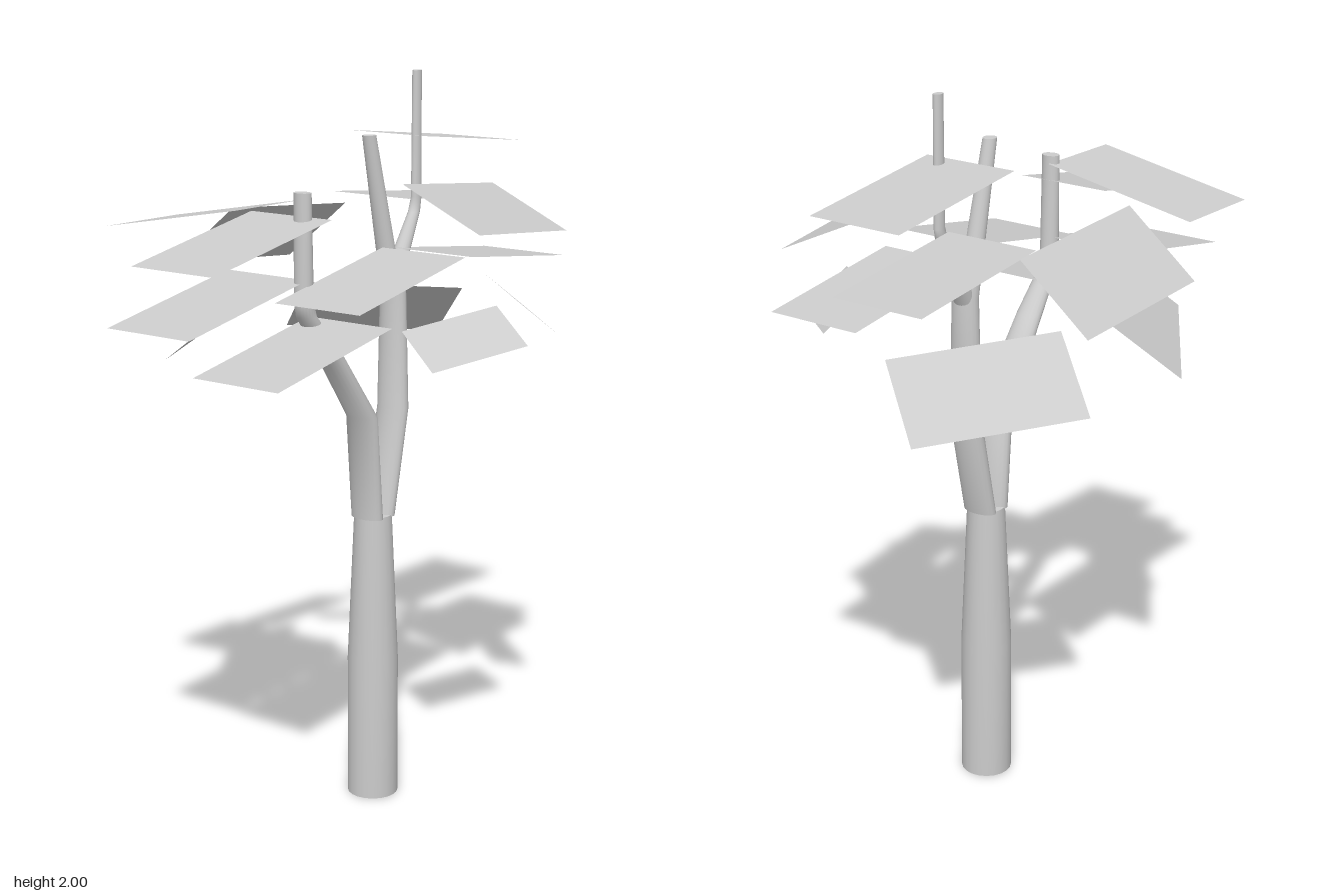
import * as THREE from 'three';

const material = new THREE.MeshStandardMaterial({ color: 0xcccccc });
const panelMaterial = new THREE.MeshStandardMaterial({ color: 0xcccccc, side: THREE.DoubleSide });
const SIDES = 20;

function addMesh(group, name, positions, index, mat) {
  const geometry = new THREE.BufferGeometry();
  geometry.setAttribute('position', new THREE.Float32BufferAttribute(positions, 3));
  geometry.setIndex(index);
  geometry.computeVertexNormals();
  const mesh = new THREE.Mesh(geometry, mat);
  mesh.name = name;
  group.add(mesh);
}

// Closed limb through level elliptical rings [x, y, z, radiusX, radiusZ], listed upwards
function addLimb(group, name, rings) {
  const positions = [];
  const index = [];
  const pushRing = ([x, y, z, rx, rz]) => {
    for (let j = 0; j < SIDES; j++) {
      const t = (j / SIDES) * Math.PI * 2;
      positions.push(x + rx * Math.cos(t), y, z + rz * Math.sin(t));
    }
  };
  rings.forEach(pushRing);
  for (let i = 0; i < rings.length - 1; i++) {
    for (let j = 0; j < SIDES; j++) {
      const a = i * SIDES + j;
      const b = i * SIDES + (j + 1) % SIDES;
      index.push(a, a + SIDES, b, b, a + SIDES, b + SIDES);
    }
  }
  // End caps with their own vertices, so the rims stay sharp
  for (const top of [false, true]) {
    const ring = top ? rings[rings.length - 1] : rings[0];
    const start = positions.length / 3;
    pushRing(ring);
    positions.push(ring[0], ring[1], ring[2]);
    for (let j = 0; j < SIDES; j++) {
      const a = start + j;
      const b = start + (j + 1) % SIDES;
      index.push(start + SIDES, top ? b : a, top ? a : b);
    }
  }
  addMesh(group, name, positions, index, material);
}

// Thin panel from three successive corners; the fourth closes the parallelogram
function addPanel(group, name, a, b, c) {
  const d = a.map((v, i) => v + c[i] - b[i]);
  addMesh(group, name, [...a, ...b, ...c, ...d], [0, 1, 2, 0, 2, 3], panelMaterial);
}

export function createModel() {
  const model = new THREE.Group();
  model.name = 'panelTree';

  // Trunk and the limbs it splits into
  addLimb(model, 'trunk', [
    [0.005, 0, -0.042, 0.07, 0.07],
    [0.005, 0.4, -0.042, 0.07, 0.07],
    [0.005, 0.815, -0.042, 0.051, 0.053],
  ]);
  addLimb(model, 'frontBranch', [
    [0.005, 0.81, -0.016, 0.05, 0.027],
    [0.005, 1.1, 0.008, 0.049, 0.029],
    [0.008, 1.31, 0.165, 0.036, 0.034],
    [0.01, 1.41, 0.25, 0.027, 0.027],
    [0.01, 1.45, 0.26, 0.026, 0.025],
    [0.01, 1.73, 0.262, 0.025, 0.019],
  ]);
  addLimb(model, 'backBranch', [
    [0.005, 0.81, -0.069, 0.05, 0.027],
    [0.005, 1.1, -0.132, 0.048, 0.032],
    [0, 1.44, -0.138, 0.038, 0.03],
    [-0.008, 1.54, -0.114, 0.027, 0.025],
    [-0.015, 1.845, -0.05, 0.018, 0.02],
  ]);
  addLimb(model, 'rearFork', [
    [0, 1.42, -0.14, 0.03, 0.025],
    [-0.01, 1.5, -0.178, 0.024, 0.026],
    [-0.018, 1.62, -0.258, 0.015, 0.019],
    [-0.02, 1.66, -0.271, 0.013, 0.017],
    [-0.02, 2, -0.271, 0.011, 0.016],
  ]);

  // Panels that pitch only to front or back: [x0, x1, backZ, backY, frontZ, frontY]
  const pitched = [
    [-0.22, 0.045, -0.685, 1.78, -0.232, 1.83],
    [-0.305, -0.04, -0.715, 1.605, -0.26, 1.652],
    [-0.018, 0.25, -0.605, 1.48, -0.15, 1.535],
    [-0.178, 0.087, 0.24, 1.665, 0.695, 1.582],
    [-0.253, 0.015, 0.25, 1.505, 0.707, 1.422],
    [0.029, 0.295, -0.05, 1.552, 0.4, 1.47],
    [-0.03, 0.238, 0.19, 1.397, 0.645, 1.315],
  ];
  pitched.forEach(([x0, x1, z0, y0, z1, y1], i) => {
    addPanel(model, `pitchedPanel${i + 1}`, [x0, y0, z0], [x0, y1, z1], [x1, y1, z1]);
  });

  // Panels turned outwards around the crown, by three corners, anticlockwise from above
  const turned = [
    [[-0.447, 1.63, 0.226], [-0.458, 1.63, 0.49], [-0.01, 1.71, 0.502]],
    [[0.117, 1.69, -0.44], [0.14, 1.735, 0.013], [0.38, 1.625, 0.012]],
    [[-0.462, 1.455, -0.265], [-0.49, 1.49, 0.187], [-0.288, 1.657, 0.187]],
    [[0.4, 1.44, -0.04], [0.292, 1.402, 0.223], [0.413, 1.318, 0.26]],
    [[0.19, 1.465, -0.297], [0.41, 1.442, -0.12], [0.477, 1.34, -0.226]],
    [[-0.519, 1.258, 0.09], [-0.27, 1.3, 0.483], [-0.105, 1.465, 0.36]],
    [[-0.466, 1.25, -0.253], [-0.3, 1.41, -0.14], [-0.012, 1.375, -0.487]],
  ];
  turned.forEach((corners, i) => addPanel(model, `turnedPanel${i + 1}`, ...corners));

  return model;
}
